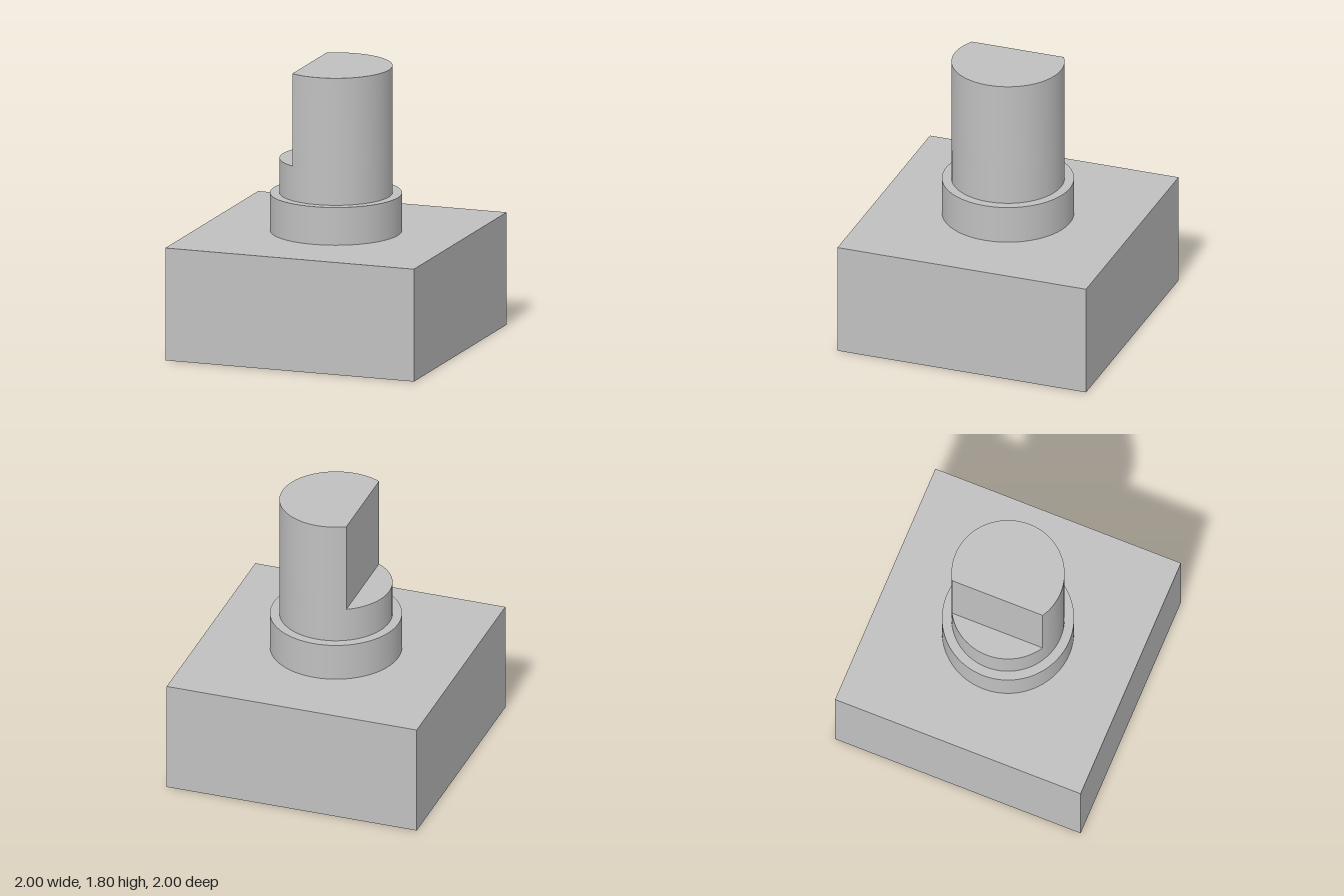
import * as THREE from 'three';
import { toCreasedNormals } from 'three/addons/utils/BufferGeometryUtils.js';

export function createModel() {
  const group = new THREE.Group();
  group.name = 'motorWithShaft';
  group.rotation.y = -THREE.MathUtils.degToRad(12.5);

  const grey = new THREE.MeshStandardMaterial({ color: 0xc0c0c0 });
  grey.name = 'light grey';

  const BASE_TOP = 0.73, COLLAR_TOP = 0.975, STEP = 1.2, TOP = 1.8;
  const SHAFT_R = 0.358;

  const add = (name, geometry, bottom) => {
    const mesh = new THREE.Mesh(geometry, grey);
    mesh.name = name;
    mesh.position.y = bottom;
    group.add(mesh);
  };
  // Upright cylinder standing on its own origin
  const cylinder = (r, h) => new THREE.CylinderGeometry(r, r, h, 72).translate(0, h / 2, 0);

  // Square body
  add('body', new THREE.BoxGeometry(1.677, BASE_TOP, 1.677).translate(0, BASE_TOP / 2, 0), 0);

  // Collar and round lower shaft
  add('collar', cylinder(0.418, COLLAR_TOP - BASE_TOP), BASE_TOP);
  add('lowerShaft', cylinder(SHAFT_R, STEP - COLLAR_TOP), COLLAR_TOP);

  // Upper shaft with one flat, cut at half the radius
  const profile = new THREE.Shape();
  const a = Math.PI * 2 / 3;
  profile.absarc(0, 0, SHAFT_R, -a, a, false);
  profile.closePath();
  const upper = new THREE.ExtrudeGeometry(profile, {
    depth: TOP - STEP, bevelEnabled: false, curveSegments: 48,
  }).rotateX(-Math.PI / 2);
  add('upperShaft', toCreasedNormals(upper, 0.5), STEP);

  return group;
}
